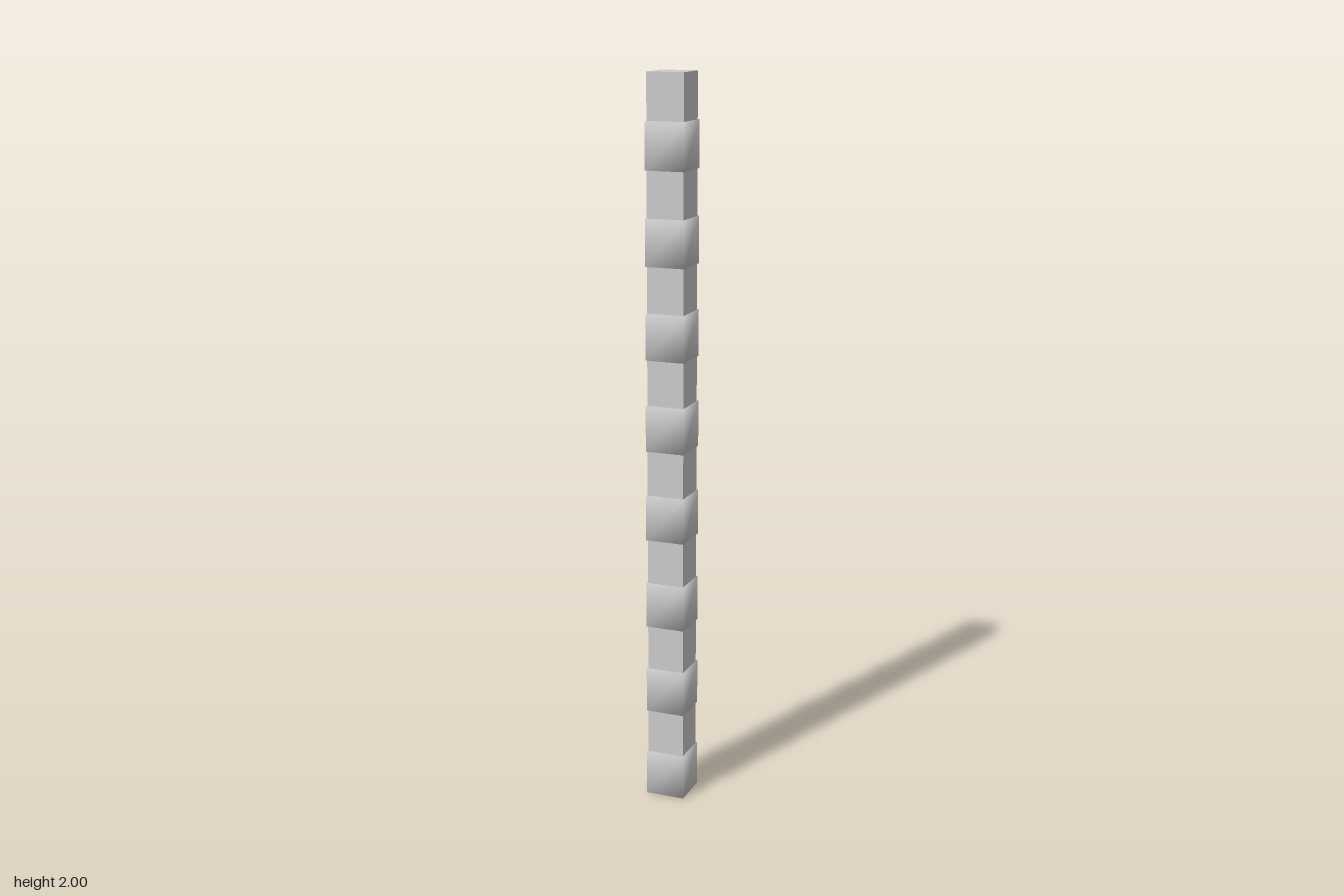
import * as THREE from 'three';
import { mergeVertices } from 'three/addons/utils/BufferGeometryUtils.js';

// Box whose corners share one averaged normal, for a softly shaded look
function softBox(w, h, d) {
  const box = new THREE.BoxGeometry(w, h, d);
  box.deleteAttribute('normal');
  box.deleteAttribute('uv');
  const g = mergeVertices(box);
  g.computeVertexNormals();
  return g;
}

export function createModel() {
  const model = new THREE.Group();
  model.name = 'bandedPost';
  const material = new THREE.MeshStandardMaterial({ color: 0xcccccc });

  // Square core running the full height
  const core = new THREE.Mesh(new THREE.BoxGeometry(0.103, 2, 0.099), material);
  core.name = 'post';
  core.position.y = 1;
  model.add(core);

  // Evenly spaced raised bands, starting at the foot
  const count = 8, pitch = 0.25, height = 0.126;
  const bandGeometry = softBox(0.109, height, 0.109);
  for (let i = 0; i < count; i++) {
    const band = new THREE.Mesh(bandGeometry, material);
    band.name = `band${i + 1}`;
    band.position.y = i * pitch + height / 2;
    model.add(band);
  }
  return model;
}
